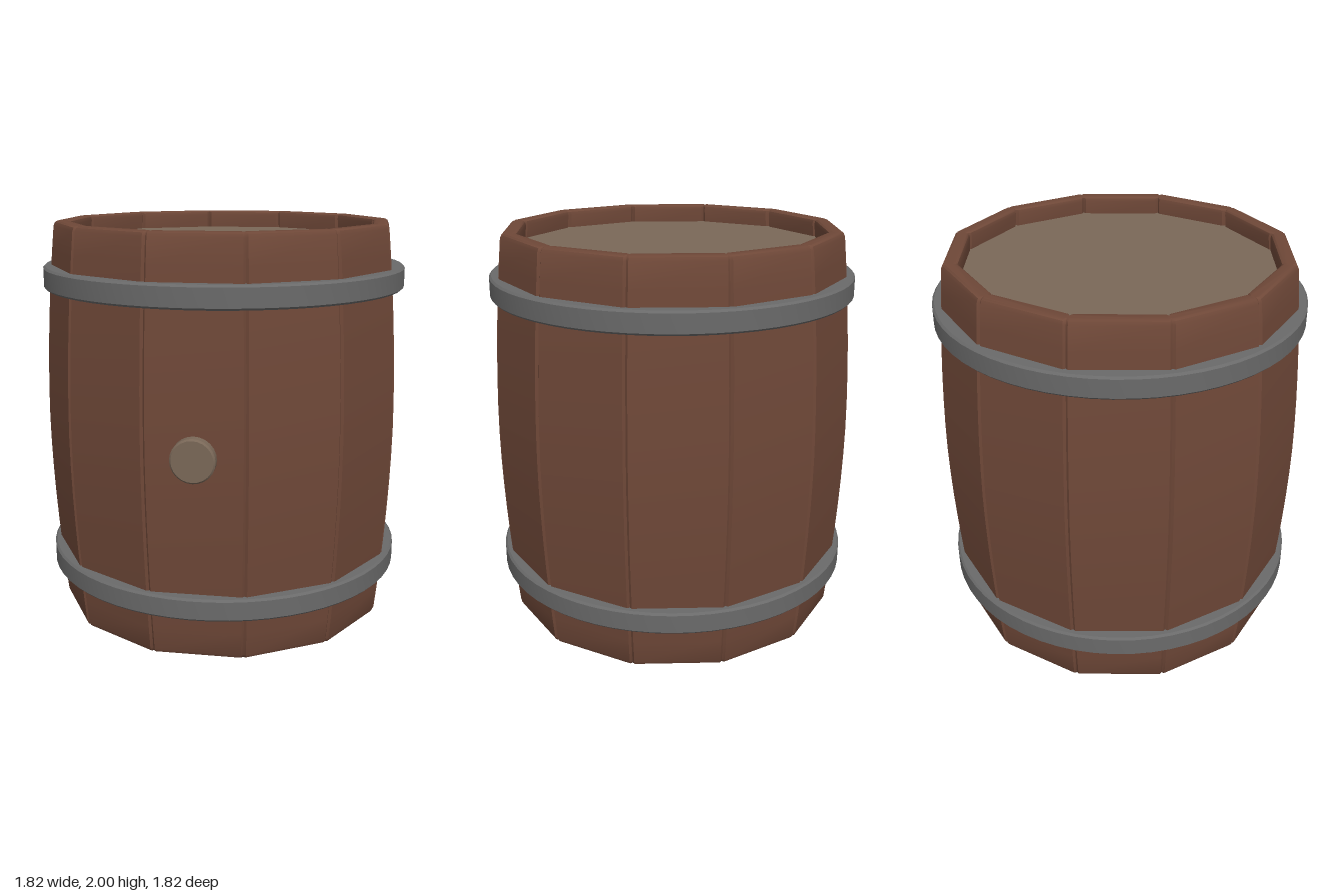
import * as THREE from 'three';
import { toCreasedNormals } from 'three/addons/utils/BufferGeometryUtils.js';

const STAVES = 12;
const HALF = Math.PI / STAVES;
const TURN = THREE.MathUtils.degToRad(4.7); // angle of the first seam
const HEIGHT = 2;

const wood = new THREE.MeshStandardMaterial({ color: 0x6f4838 });
wood.name = 'brownWood';
const paleWood = new THREE.MeshStandardMaterial({ color: 0x7a6858 });
paleWood.name = 'paleWood';
const iron = new THREE.MeshStandardMaterial({ color: 0x6a6a6a });
iron.name = 'greyIron';

// corner radius of the bulging barrel at height y
const bulge = (y) => 0.915 - 0.062 * Math.pow(Math.abs(y - 1), 1.8);

// chamfered stave cross-section, facing +z
function staveSection(y, inset) {
  const b = 0.012, t = Math.tan(HALF), c = Math.cos(HALF);
  const out = bulge(y) * c - inset;
  const inn = (bulge(y) - 0.083) * c + inset;
  const o = out * t - b, i = inn * t - b;
  const oe = (out - b) * t, ie = (inn + b) * t;
  return [
    [o, out], [-o, out], [-oe, out - b], [-ie, inn + b],
    [-i, inn], [i, inn], [ie, inn + b], [oe, out - b],
  ].map(([x, z]) => [x, y, z]);
}

// sweep the section up the barrel, with softened ends
function staveGeometry() {
  const levels = [[0, 0.016], [0.006, 0.006], [0.022, 0]];
  const steps = 14;
  for (let k = 1; k < steps; k++) levels.push([(HEIGHT * k) / steps, 0]);
  levels.push([HEIGHT - 0.022, 0], [HEIGHT - 0.006, 0.006], [HEIGHT, 0.016]);

  const rings = levels.map(([y, inset]) => staveSection(y, inset));
  const n = rings[0].length;
  const index = [];
  for (let k = 0; k < rings.length - 1; k++) {
    for (let j = 0; j < n; j++) {
      const a = k * n + j, b = k * n + ((j + 1) % n);
      index.push(b, a, a + n, b, a + n, b + n);
    }
  }
  const top = (rings.length - 1) * n;
  for (let j = 1; j < n - 1; j++) {
    index.push(0, j, j + 1, top, top + j + 1, top + j);
  }
  const geo = new THREE.BufferGeometry();
  geo.setAttribute('position', new THREE.Float32BufferAttribute(rings.flat(2), 3));
  geo.setIndex(index);
  return toCreasedNormals(geo, 0.6);
}

// iron band with softened edges
function hoopGeometry() {
  const h = 0.055, r = 0.912, inner = 0.83, b = 0.01;
  const profile = [
    [inner, -h], [r - b, -h], [r, -h + b], [r, h - b], [r - b, h], [inner, h], [inner, -h],
  ].map(([x, y]) => new THREE.Vector2(x, y));
  return toCreasedNormals(new THREE.LatheGeometry(profile, 60), 0.5);
}

// round plug with a softened front edge, axis along +z
function bungGeometry() {
  const r = 0.105, front = 0.93, b = 0.008;
  const profile = [[0, 0.82], [r, 0.82], [r, front - b], [r - b, front], [0, front]]
    .map(([x, y]) => new THREE.Vector2(x, y));
  const geo = new THREE.LatheGeometry(profile, 24);
  geo.rotateX(Math.PI / 2);
  return toCreasedNormals(geo, 0.5);
}

export function createModel() {
  const model = new THREE.Group();
  model.name = 'barrel';
  const add = (name, geo, mat, parent = model) => {
    const mesh = new THREE.Mesh(geo, mat);
    mesh.name = name;
    parent.add(mesh);
    return mesh;
  };

  // staves
  const staves = new THREE.Group();
  staves.name = 'staves';
  model.add(staves);
  const staveGeo = staveGeometry();
  for (let k = 0; k < STAVES; k++) {
    add('stave', staveGeo, wood, staves).rotation.y = TURN + HALF + k * 2 * HALF;
  }

  // recessed heads at both ends
  const headGeo = new THREE.CylinderGeometry(0.81, 0.81, 0.06, STAVES);
  for (const [name, y] of [['bottomHead', 0.12], ['topHead', HEIGHT - 0.12]]) {
    const head = add(name, headGeo, paleWood);
    head.position.y = y;
    head.rotation.y = TURN;
  }

  // hoops
  const hoopGeo = hoopGeometry();
  add('bottomHoop', hoopGeo, iron).position.y = 0.28;
  add('topHoop', hoopGeo, iron).position.y = 1.73;

  // bung in the middle of one stave
  const bung = add('bung', bungGeometry(), paleWood);
  bung.position.y = 1.005;
  bung.rotation.y = TURN + HALF;

  return model;
}
